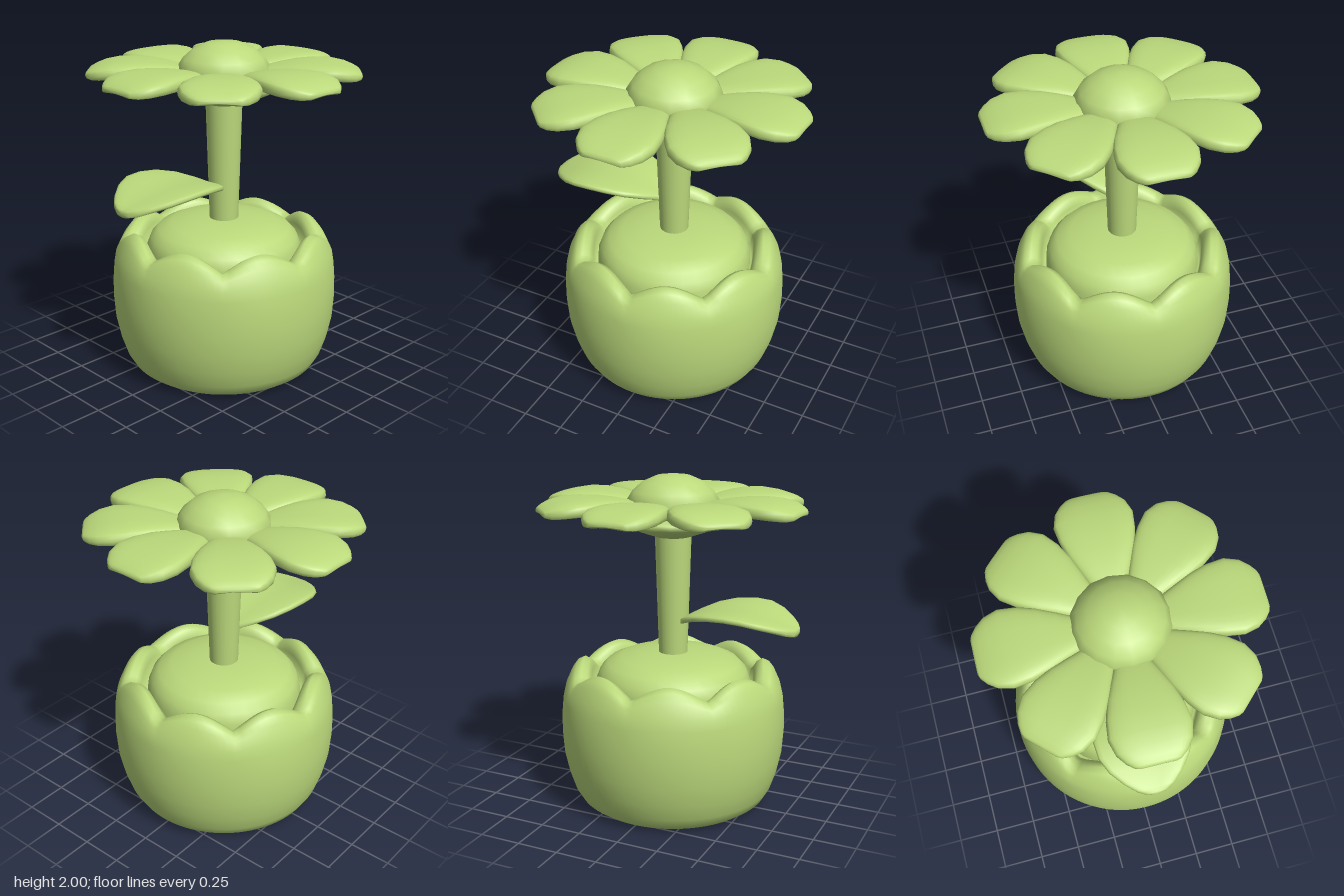
import * as THREE from 'three';
import { mergeVertices } from 'three/addons/utils/BufferGeometryUtils.js';

const material = new THREE.MeshStandardMaterial({ color: 0xbbd97b });

function addMesh(parent, name, geometry) {
  const mesh = new THREE.Mesh(geometry, material);
  mesh.name = name;
  parent.add(mesh);
  return mesh;
}

// Weld the seams so the normals run smoothly all round
function smooth(geometry) {
  geometry.deleteAttribute('uv');
  geometry.deleteAttribute('normal');
  const welded = mergeVertices(geometry, 1e-5);
  welded.computeVertexNormals();
  return welded;
}

function lathe(profile, segments) {
  return new THREE.LatheGeometry(profile.map(([r, y]) => new THREE.Vector2(r, y)), segments);
}

// Skin a row of cross-sections running along +z; place(section, angle) gives each ring point
function loft(sections, sides, place) {
  const positions = [], index = [];
  sections.forEach((section, i) => {
    for (let j = 0; j < sides; j++) {
      positions.push(...place(section, (j / sides) * Math.PI * 2));
      if (i === sections.length - 1) continue;
      const a = i * sides + j, b = i * sides + (j + 1) % sides;
      index.push(a, b, a + sides, b, b + sides, a + sides);
    }
  });
  const geometry = new THREE.BufferGeometry();
  geometry.setAttribute('position', new THREE.Float32BufferAttribute(positions, 3));
  geometry.setIndex(index);
  return smooth(geometry);
}

const rounded = (v, power) => Math.sign(v) * Math.abs(v) ** power;

// Barrel-shaped pot whose rim rises in eight scallops
function potGeometry() {
  const geometry = lathe([
    [0, 0], [0.3, 0], [0.5, 0], [0.535, 0.008], [0.58, 0.04], [0.615, 0.1], [0.648, 0.2],
    [0.673, 0.32], [0.682, 0.45], [0.68, 0.56], [0.67, 0.66], [0.651, 0.74], [0.615, 0.82],
    [0.585, 0.86], [0.545, 0.88], [0.51, 0.86], [0.49, 0.81], [0.48, 0.68], [0, 0.68]], 96);
  const p = geometry.attributes.position, base = 0.62;
  for (let i = 0; i < p.count; i++) {
    const x = p.getX(i), y = p.getY(i), z = p.getZ(i), r = Math.hypot(x, z);
    if (y <= base || r < 0.4) continue;
    // Valleys sink and lean outwards, staying on the line of the wall
    const valley = 1 - Math.abs(Math.sin(4 * Math.atan2(x, z)));
    const drop = 0.09 * valley * ((y - base) / (0.88 - base)) ** 1.5;
    const lean = 1 + 0.4 * drop / r;
    p.setXYZ(i, x * lean, y - drop, z * lean);
  }
  return smooth(geometry);
}

// Sections: distance, half width, top, bottom; the underside is hollowed
function petalGeometry() {
  const sections = [
    [0.14, 0, 1.79, 1.79], [0.15, 0.06, 1.83, 1.735], [0.25, 0.108, 1.855, 1.738],
    [0.33, 0.142, 1.872, 1.758], [0.42, 0.18, 1.884, 1.774], [0.52, 0.21, 1.889, 1.78],
    [0.62, 0.223, 1.885, 1.778], [0.7, 0.2, 1.87, 1.773], [0.75, 0.162, 1.852, 1.773],
    [0.78, 0.125, 1.836, 1.783], [0.79, 0.1, 1.824, 1.798], [0.79, 0, 1.81, 1.81]];
  return loft(sections, 28, ([z, w, top, bottom], a) => {
    const x = rounded(Math.cos(a), 0.7), s = rounded(Math.sin(a), 0.6);
    const hollow = s < 0 ? 0.35 * (top - bottom) * (1 - x * x) : 0;
    return [w * x, (top + bottom) / 2 + s * (top - bottom) / 2 + hollow, z];
  });
}

// Sections: distance, half width, height of the midrib, half thickness
function leafGeometry() {
  const sections = [
    [0.07, 0, 1.132, 0], [0.075, 0.06, 1.132, 0.02], [0.14, 0.14, 1.16, 0.023],
    [0.22, 0.215, 1.187, 0.025], [0.32, 0.262, 1.206, 0.026], [0.43, 0.28, 1.212, 0.026],
    [0.53, 0.275, 1.206, 0.026], [0.62, 0.235, 1.186, 0.026], [0.7, 0.168, 1.162, 0.025],
    [0.75, 0.11, 1.144, 0.025], [0.778, 0.055, 1.135, 0.022], [0.785, 0, 1.135, 0]];
  return loft(sections, 24, ([z, w, y, t], a) => {
    const x = w * rounded(Math.cos(a), 0.8);
    return [x, y + 0.075 * Math.abs(x) + t * rounded(Math.sin(a), 0.5), z];
  });
}

export function createModel() {
  const model = new THREE.Group();
  model.name = 'pottedFlower';

  addMesh(model, 'pot', potGeometry());
  addMesh(model, 'soil', smooth(lathe([
    [0.472, 0.67], [0.468, 0.76], [0.445, 0.82], [0.4, 0.868], [0.32, 0.903],
    [0.2, 0.924], [0.1, 0.929], [0, 0.93]], 32)));

  // Stem widens slightly towards the flower
  const stem = addMesh(model, 'stem', new THREE.CylinderGeometry(0.11, 0.085, 0.83, 24, 1, true));
  stem.position.y = 1.285;
  addMesh(model, 'leaf', leafGeometry());

  // Flower head
  const flower = new THREE.Group();
  flower.name = 'flower';
  model.add(flower);
  addMesh(flower, 'calyx', lathe([
    [0, 1.635], [0.11, 1.636], [0.2, 1.667], [0.28, 1.703], [0.285, 1.735],
    [0.25, 1.75], [0, 1.77]], 16));
  addMesh(flower, 'flowerCentre', smooth(lathe([
    [0.26, 1.78], [0.272, 1.845], [0.238, 1.9], [0.18, 1.952], [0.1, 1.987], [0, 2]], 16)));

  const petal = petalGeometry();
  for (let i = 0; i < 8; i++) {
    addMesh(flower, 'petal', petal).rotation.y = i * Math.PI / 4 - 0.02;
  }
  return model;
}
